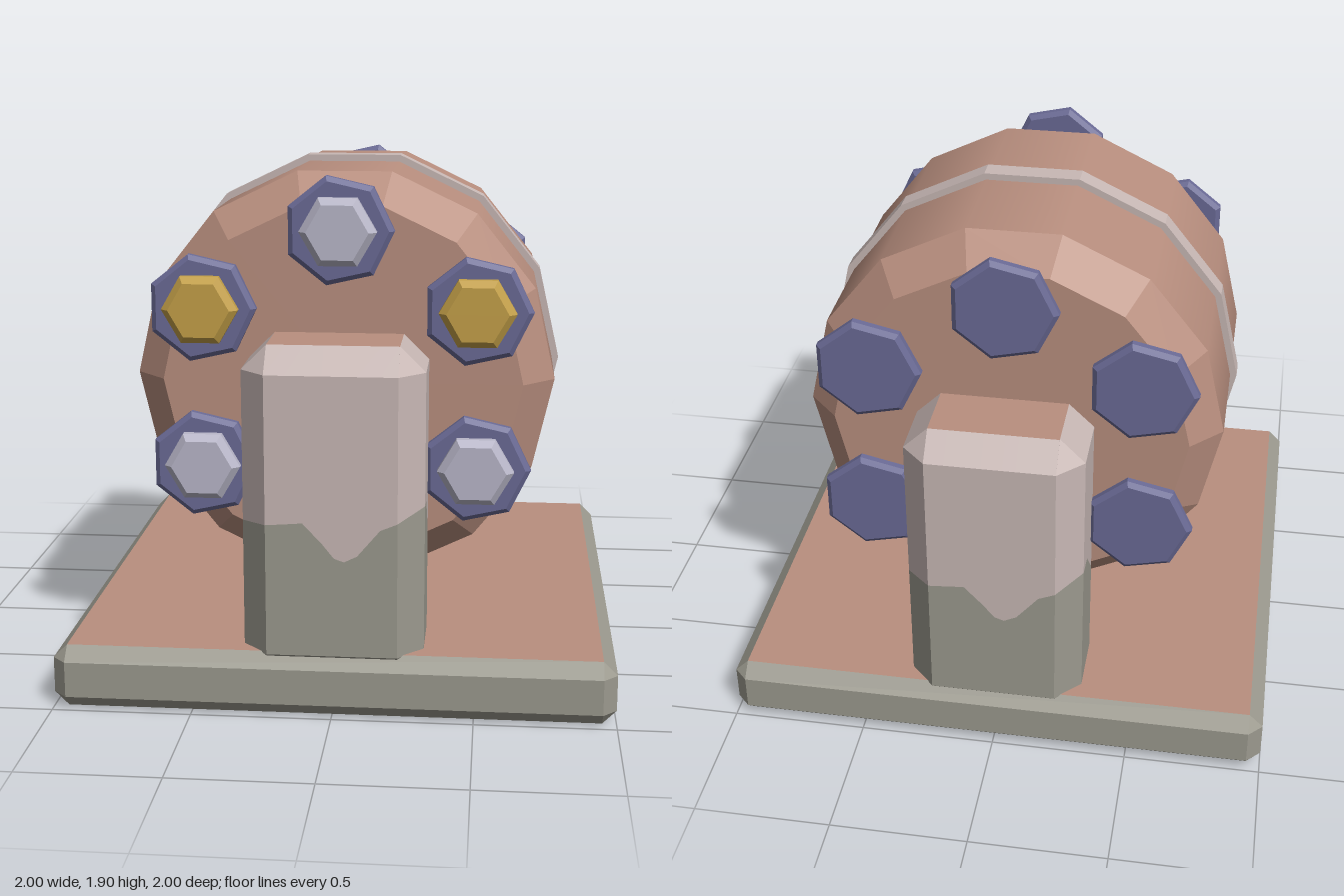
import * as THREE from 'three';

const mat = (name, color, side = THREE.FrontSide) => {
  const m = new THREE.MeshStandardMaterial({ color, side });
  m.name = name;
  return m;
};

// Flat-faced skin through rings of [x, y, z] points (counter-clockwise seen from above)
function loft(rings, closeTop = false, closeBottom = false) {
  const pos = [];
  const tri = (a, b, c) => {
    const [A, B, C] = [a, b, c].map(p => new THREE.Vector3(...p));
    if (B.sub(A).cross(C.sub(A)).length() > 1e-7) pos.push(...a, ...b, ...c);
  };
  for (let r = 0; r + 1 < rings.length; r++) {
    const lo = rings[r], hi = rings[r + 1], n = lo.length;
    for (let i = 0; i < n; i++) {
      const j = (i + 1) % n;
      tri(lo[i], lo[j], hi[j]);
      tri(lo[i], hi[j], hi[i]);
    }
  }
  const top = rings[rings.length - 1], bottom = rings[0];
  for (let i = 1; i + 1 < top.length; i++) {
    if (closeTop) tri(top[0], top[i], top[i + 1]);
    if (closeBottom) tri(bottom[0], bottom[i + 1], bottom[i]);
  }
  const g = new THREE.BufferGeometry();
  g.setAttribute('position', new THREE.Float32BufferAttribute(pos, 3));
  g.computeVertexNormals();
  return g;
}

const clamp = THREE.MathUtils.clamp;
const level = (pts, y) => pts.map(([x, z]) => [x, y, z]);
const inset = (pts, y, hx, z0, z1) => pts.map(([x, z]) => [clamp(x, -hx, hx), y, clamp(z, z0, z1)]);

// Many-sided turned solid along +z with one corner at +x; profile is [radius, z]
function turned(profile, sides, flat = true) {
  let g = new THREE.LatheGeometry(profile.map(p => new THREE.Vector2(...p)), sides, Math.PI / 2);
  g.rotateX(Math.PI / 2);
  if (flat) {
    g = g.toNonIndexed();
    g.computeVertexNormals();
  }
  return g;
}

// Sector of the faceted hoop, between two corner numbers of a 14-sided polygon
function hoopSector(from, to) {
  const at = (r, k) => new THREE.Vector2(r * Math.cos(k * Math.PI / 7), r * Math.sin(k * Math.PI / 7));
  const pts = [];
  for (let k = from; k <= to; k++) pts.push(at(0.795, k));
  for (let k = to; k >= from; k--) pts.push(at(0.74, k));
  const g = new THREE.ExtrudeGeometry(new THREE.Shape(pts), { depth: 0.08, bevelEnabled: false });
  return g.translate(0, 0, -0.04);
}

export function createModel() {
  const copper = mat('copper', 0xb98f7f);
  const paleStone = mat('paleStone', 0xc8b8b5);
  const oliveGrey = mat('oliveGrey', 0x9b998e);
  const violet = mat('violet', 0x6a6a95);
  const gold = mat('gold', 0xc4a048);
  const silver = mat('silver', 0xb9b7c9);

  const model = new THREE.Group();
  model.name = 'drumOnStand';
  const add = (parent, name, geometry, material) => {
    const mesh = new THREE.Mesh(geometry, material);
    mesh.name = name;
    parent.add(mesh);
    return mesh;
  };

  // Base slab with chamfered grey rim and copper faces
  const slab = [[-0.95, 1], [0.95, 1], [1, 0.95], [1, -0.95], [0.95, -1], [-0.95, -1], [-1, -0.95], [-1, 0.95]];
  const slabTop = inset(slab, 0.23, 0.95, -0.95, 0.95);
  const slabBottom = inset(slab, 0, 0.95, -0.95, 0.95);
  add(model, 'baseRim', loft([slabBottom, level(slab, 0.05), level(slab, 0.18), slabTop]), oliveGrey);
  add(model, 'baseTop', loft([slabTop], true), copper);
  add(model, 'baseUnderside', loft([slabBottom], false, true), copper);

  // Post outline [x, z, height of the wavy colour line]
  const outline = [
    [-0.23, 0.97, 0.7], [-0.16, 0.97, 0.705], [-0.1, 0.97, 0.71], [-0.03, 0.97, 0.635], [0.01, 0.97, 0.585],
    [0.045, 0.97, 0.573], [0.09, 0.97, 0.595], [0.17, 0.97, 0.69], [0.23, 0.97, 0.715],
    [0.32, 0.88, 0.755], [0.32, 0.78, 0.745], [0.32, 0.7, 0.66], [0.32, 0.65, 0.61],
    [0.23, 0.57, 0.59], [0.1, 0.57, 0.62], [-0.05, 0.57, 0.68], [-0.23, 0.57, 0.7],
    [-0.32, 0.65, 0.61], [-0.32, 0.75, 0.575], [-0.32, 0.82, 0.62], [-0.32, 0.88, 0.69],
  ];
  const wave = outline.map(([x, z, y]) => [x, y, z]);
  const postTop = inset(outline, 1.32, 0.23, 0.655, 0.885);
  const postFoot = inset(outline, 0.14, 0.23, 0.655, 0.885);

  // Each end: a post and five seven-sided washers; the front also carries nuts
  const bolts = [[0, 1.685, silver], [-0.49, 1.405, gold], [0.49, 1.405, gold], [-0.49, 0.835, silver], [0.49, 0.835, silver]];
  const washerShape = turned([[0, 0.638], [0.178, 0.638], [0.197, 0.652], [0.197, 0.676], [0.178, 0.69], [0, 0.69]], 7);
  const nutShape = turned([[0, 0.685], [0.137, 0.685], [0.137, 0.715], [0.11, 0.738], [0, 0.738]], 6);
  ['front', 'back'].forEach((end, e) => {
    const side = new THREE.Group();
    side.name = end + 'End';
    side.rotation.y = e * Math.PI;
    model.add(side);
    add(side, 'postLower', loft([postFoot, level(outline, 0.225), wave], false, true), oliveGrey);
    add(side, 'postUpper', loft([wave, level(outline, 1.23), postTop]), paleStone);
    add(side, 'postTop', loft([postTop], true), copper);
    for (const [x, y, nutColour] of bolts) {
      add(side, 'washer', washerShape, violet).position.set(x, y, 0);
      if (e === 0) add(side, 'nut', nutShape, nutColour).position.set(x, y, 0);
    }
  });

  // Drum: smooth barrel, tapered shoulders, flat ends and a short axle
  const drum = new THREE.Group();
  drum.name = 'drum';
  drum.position.y = 1.12;
  model.add(drum);
  add(drum, 'barrel', turned([[0.77, -0.44], [0.77, 0.44]], 14, false), copper);
  add(drum, 'frontShoulder', turned([[0.77, 0.44], [0.655, 0.56], [0, 0.56]], 14), copper);
  add(drum, 'backShoulder', turned([[0, -0.56], [0.655, -0.56], [0.77, -0.44]], 14), copper);
  add(drum, 'axle', turned([[0, -0.6], [0.11, -0.6], [0.11, 0.6], [0, 0.6]], 14), copper);

  // Hoop around the middle, pale above and grey below
  add(drum, 'hoopUpper', hoopSector(-1, 8), paleStone);
  add(drum, 'hoopLower', hoopSector(8, 13), oliveGrey);
  return model;
}
